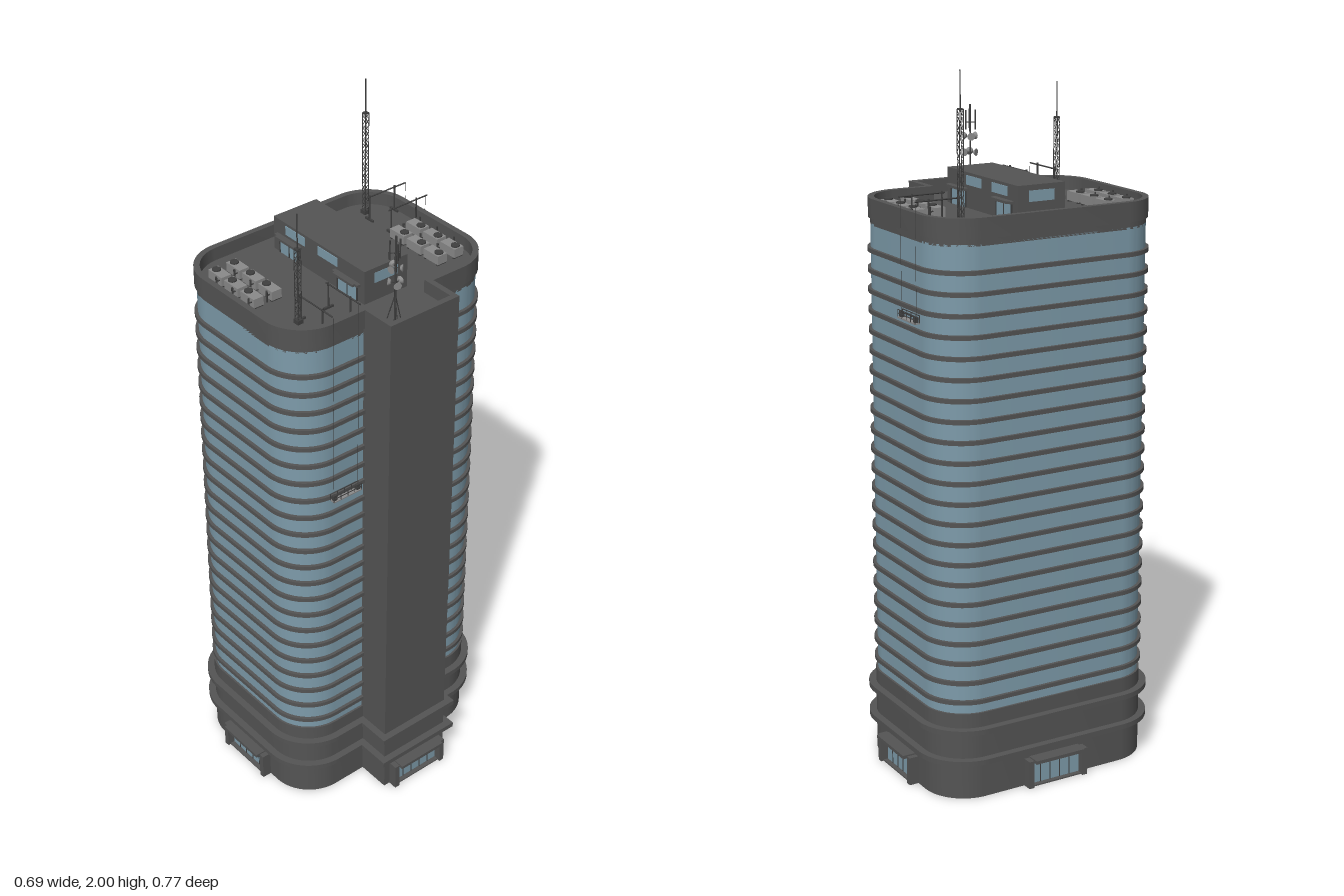
import * as THREE from 'three';
import { toCreasedNormals } from 'three/addons/utils/BufferGeometryUtils.js';

const paint = (name, hex) => {
  const m = new THREE.MeshStandardMaterial({ color: hex });
  m.name = name;
  return m;
};

export function createModel() {
  const concrete = paint('dark concrete', 0x545454);
  const glass = paint('blue glass', 0x7d9baa);
  const metal = paint('light metal', 0x8a8a8a);
  const steel = paint('dark steel', 0x404040);
  const model = new THREE.Group();
  model.name = 'tower';

  const add = (parent, name, geo, mat) => {
    const m = new THREE.Mesh(geo, mat);
    m.name = name;
    parent.add(m);
    return m;
  };
  const group = (name, x = 0, y = 0, z = 0, parent = model) => {
    const g = new THREE.Group();
    g.name = name;
    g.position.set(x, y, z);
    parent.add(g);
    return g;
  };
  // Box given by its limits on each axis
  const box = (p, name, x0, x1, y0, y1, z0, z1, mat) => {
    const m = add(p, name, new THREE.BoxGeometry(x1 - x0, y1 - y0, z1 - z0), mat);
    m.position.set((x0 + x1) / 2, (y0 + y1) / 2, (z0 + z1) / 2);
    return m;
  };
  // Thin round bar between two points
  const bar = (p, name, a, b, r, mat = steel) => {
    const A = new THREE.Vector3(...a), d = new THREE.Vector3(...b).sub(A);
    const m = add(p, name, new THREE.CylinderGeometry(r, r, d.length(), 6), mat);
    m.position.copy(A).addScaledVector(d, 0.5);
    m.quaternion.setFromUnitVectors(new THREE.Vector3(0, 1, 0), d.normalize());
    return m;
  };

  // Rounded floor plan, offset outwards by o, with or without the lift shaft bay
  const plan = (o, shaft, Kind = THREE.Shape) => {
    const x0 = -0.307 - o, x1 = 0.206 + o, z = 0.346 + o, r = 0.125 + o, s = 0.116 + o;
    const p = new Kind();
    p.moveTo(x0 + r, -z).lineTo(x1 - r, -z);
    p.absarc(x1 - r, -z + r, r, -Math.PI / 2, 0);
    if (shaft) p.lineTo(x1, -s).lineTo(0.307 + o, -s).lineTo(0.307 + o, s).lineTo(x1, s);
    p.absarc(x1 - r, z - r, r, 0, Math.PI / 2);
    p.absarc(x0 + r, z - r, r, Math.PI / 2, Math.PI);
    p.absarc(x0 + r, -z + r, r, Math.PI, Math.PI * 1.5);
    return p;
  };
  const storey = (name, o, y0, y1, mat, shaft, hole) => {
    const s = plan(o, shaft);
    if (hole !== undefined) s.holes.push(plan(hole, shaft, THREE.Path));
    const geo = new THREE.ExtrudeGeometry(s, { depth: y1 - y0, bevelEnabled: false, curveSegments: 12 });
    geo.rotateX(-Math.PI / 2).translate(0, y0, 0);
    return add(model, name, toCreasedNormals(geo, 0.5), mat);
  };

  // Base, ledges, glazed body, floor slabs and lift shaft
  storey('base', 0, 0, 0.254, concrete, true);
  storey('lowerLedge', 0.021, 0.106, 0.121, concrete, true);
  storey('upperLedge', 0.021, 0.197, 0.212, concrete, true);
  storey('glazing', -0.006, 0.254, 1.56, glass, false);
  for (let k = -14; k <= 7; k++) {
    const y = 1.087 + k * 0.0571;
    storey('floorSlab', 0.003, y - 0.006, y + 0.006, concrete, false);
  }
  box(model, 'liftShaft', 0.15, 0.307, 0.254, 1.58, -0.116, 0.116, concrete);

  // Roof deck and parapet
  storey('roofDeck', -0.006, 1.555, 1.592, concrete, true);
  storey('parapet', 0, 1.575, 1.63, concrete, true, -0.017);

  // Entrances: posts, lintel, glass doors with thin mullions; local +z points outwards
  const entrance = (x, z, turn) => {
    const g = group('entrance', x, 0, z);
    g.rotation.y = turn;
    for (const s of [-1, 1]) {
      box(g, 'doorPost', s * 0.088 - 0.008, s * 0.088 + 0.008, 0, 0.082, -0.01, 0.028, concrete);
    }
    box(g, 'lintel', -0.08, 0.08, 0.076, 0.086, -0.01, 0.04, concrete);
    box(g, 'doorGlass', -0.08, 0.08, 0.004, 0.076, 0, 0.006, glass);
    for (const mx of [-0.048, -0.016, 0.016, 0.048]) {
      box(g, 'mullion', mx - 0.001, mx + 0.001, 0, 0.076, 0, 0.008, steel);
    }
    box(g, 'doorStep', -0.08, 0.08, 0, 0.004, -0.01, 0.02, concrete);
  };
  entrance(-0.047, 0.346, 0);
  entrance(-0.047, -0.346, Math.PI);
  entrance(-0.307, 0, -Math.PI / 2);
  entrance(0.307, 0, Math.PI / 2);

  // Small service cabinets on the base wall
  for (const z of [-0.14, -0.165, -0.19]) {
    box(model, 'serviceCabinet', 0.206, 0.222, 0.008, 0.026, z - 0.009, z + 0.009, metal);
    box(model, 'cabinetGrille', 0.222, 0.223, 0.011, 0.023, z - 0.006, z + 0.006, steel);
  }

  // Penthouse with windows, doors and door canopies
  const pent = group('penthouse');
  box(pent, 'penthouseWalls', -0.242, 0.138, 1.59, 1.69, -0.084, 0.062, concrete);
  const zMid = -0.011;
  for (const s of [-1, 1]) {
    const slab = (name, x0, x1, y0, y1, d0, d1, mat) => {
      const a = zMid + s * (0.073 + d0), b = zMid + s * (0.073 + d1);
      box(pent, name, x0, x1, y0, y1, Math.min(a, b), Math.max(a, b), mat);
    };
    for (const x of [-0.19, -0.053]) slab('penthouseWindow', x, x + 0.082, 1.656, 1.682, 0, 0.002, glass);
    for (const x of [-0.174, 0.071]) {
      slab('penthouseDoor', x - 0.038, x + 0.038, 1.592, 1.638, 0, 0.002, glass);
      slab('doorCanopy', x - 0.052, x + 0.052, 1.64, 1.647, 0, 0.012, concrete);
      slab('canopyEdge', x - 0.041, x + 0.041, 1.64, 1.647, 0.012, 0.019, concrete);
      for (const e of [-0.04, 0, 0.04]) slab('doorFrame', x + e - 0.0015, x + e + 0.0015, 1.592, 1.64, 0, 0.004, steel);
    }
  }
  for (const x of [-0.243, 0.138]) box(pent, 'endWindow', x, x + 0.001, 1.645, 1.675, -0.05, 0.028, glass);

  // Rooftop cooling units in two blocks of six
  const coolingUnit = (x, z, side) => {
    const g = group('coolingUnit', x, 1.592, z);
    box(g, 'unitCase', -0.029, 0.029, 0.004, 0.03, -0.016, 0.016, metal);
    const fan = add(g, 'fan', new THREE.CylinderGeometry(0.012, 0.012, 0.004, 16), steel);
    fan.position.set(side * 0.014, 0.032, 0);
    for (const fx of [-0.024, 0.024]) box(g, 'unitFoot', fx - 0.003, fx + 0.003, 0, 0.004, -0.016, 0.016, steel);
    bar(g, 'pipe', [-side * 0.02, 0.02, side * -0.014], [-side * 0.02, 0.02, side * -0.026], 0.002);
    bar(g, 'pipeDrop', [-side * 0.02, 0.034, side * -0.026], [-side * 0.02, 0, side * -0.026], 0.003);
  };
  for (const i of [0, 1, 2]) {
    for (const z of [-0.288, -0.229]) coolingUnit(-0.054 + i * 0.07, z, 1);
    for (const z of [0.223, 0.282]) coolingUnit(-0.193 + i * 0.07, z, -1);
  }

  // Lattice masts with a thin tip
  const mast = (x, z, latticeTop, tip) => {
    const g = group('latticeMast', x, 0, z), w = 0.006, y0 = 1.592;
    box(g, 'mastFoot', -0.009, 0.009, y0, y0 + 0.012, -0.009, 0.009, steel);
    const c = [[-w, -w], [w, -w], [w, w], [-w, w]];
    const n = Math.round((latticeTop - y0) / 0.018), h = (latticeTop - y0) / n;
    c.forEach(([ax, az], i) => {
      const [bx, bz] = c[(i + 1) % 4];
      bar(g, 'mastLeg', [ax, y0, az], [ax, latticeTop, az], 0.0013);
      for (let k = 0; k < n; k++) {
        const lo = y0 + k * h, hi = lo + h;
        bar(g, 'mastBrace', [ax, k % 2 ? hi : lo, az], [bx, k % 2 ? lo : hi, bz], 0.0009);
      }
    });
    box(g, 'mastCap', -w, w, latticeTop - 0.002, latticeTop + 0.002, -w, w, steel);
    bar(g, 'mastTip', [0, latticeTop, 0], [0, tip, 0], 0.002);
  };
  mast(-0.232, -0.25, 1.9, 2);
  mast(0.098, 0.248, 1.81, 1.91);

  // Relay pole with dishes and panel aerials
  const relay = group('relayPole', 0.248, 1.592, 0.052);
  bar(relay, 'pole', [0, 0, 0], [0, 0.25, 0], 0.003);
  for (let i = 0; i < 3; i++) {
    const a = i * Math.PI * 2 / 3 + 0.4, cx = Math.cos(a), cz = Math.sin(a);
    bar(relay, 'poleStay', [cx * 0.022, 0, cz * 0.022], [0, 0.08, 0], 0.0015);
    bar(relay, 'aerialArm', [0, 0.2, 0], [cx * 0.016, 0.2, cz * 0.016], 0.0015);
    bar(relay, 'panelAerial', [cx * 0.016, 0.18, cz * 0.016], [cx * 0.016, 0.235, cz * 0.016], 0.0025);
    for (const [y, t] of [[0.115, 0], [0.16, 1]]) {
      const dx = Math.cos(a + t), dz = Math.sin(a + t);
      bar(relay, 'dishArm', [0, y, 0], [dx * 0.014, y, dz * 0.014], 0.0015);
      const dish = bar(relay, 'dish', [dx * 0.012, y, dz * 0.012], [dx * 0.019, y, dz * 0.019], 1, metal);
      dish.geometry = new THREE.CylinderGeometry(0.011, 0.006, 0.007, 14);
    }
  }

  // Window-cleaning rigs: two roof beams, ropes and a hanging cradle; local +z points outwards
  const cleaningRig = (x, z, turn, drop) => {
    const g = group('cleaningRig', x, 0, z);
    g.rotation.y = turn;
    for (const s of [-0.046, 0.046]) {
      bar(g, 'rigBeam', [s, 1.665, -0.125], [s, 1.665, 0.014], 0.0022);
      for (const f of [-0.116, -0.026]) {
        bar(g, 'rigPost', [s, 1.594, f], [s, 1.67, f], 0.0025);
        box(g, 'rigFoot', s - 0.016, s + 0.016, 1.592, 1.598, f - 0.003, f + 0.003, steel);
      }
      bar(g, 'rope', [s * 0.9, 1.665, 0.011], [s * 0.9, drop, 0.011], 0.0006);
    }
    box(g, 'cradleFloor', -0.048, 0.048, drop - 0.013, drop - 0.009, 0.004, 0.02, metal);
    for (const d of [0.005, 0.019]) {
      for (const y of [0, 0.01]) bar(g, 'cradleRail', [-0.048, drop + y, d], [0.048, drop + y, d], 0.0013);
      for (let i = 0; i < 5; i++) {
        const px = -0.048 + i * 0.024;
        bar(g, 'cradlePost', [px, drop - 0.011, d], [px, drop + 0.01, d], 0.0012);
      }
    }
    for (const s of [-1, 1]) box(g, 'winch', s * 0.04 - 0.006, s * 0.04 + 0.006, drop - 0.009, drop + 0.006, 0.007, 0.017, steel);
  };
  cleaningRig(-0.147, -0.349, Math.PI, 1.355);
  cleaningRig(0.207, 0.19, Math.PI / 2, 1.093);

  return model;
}
